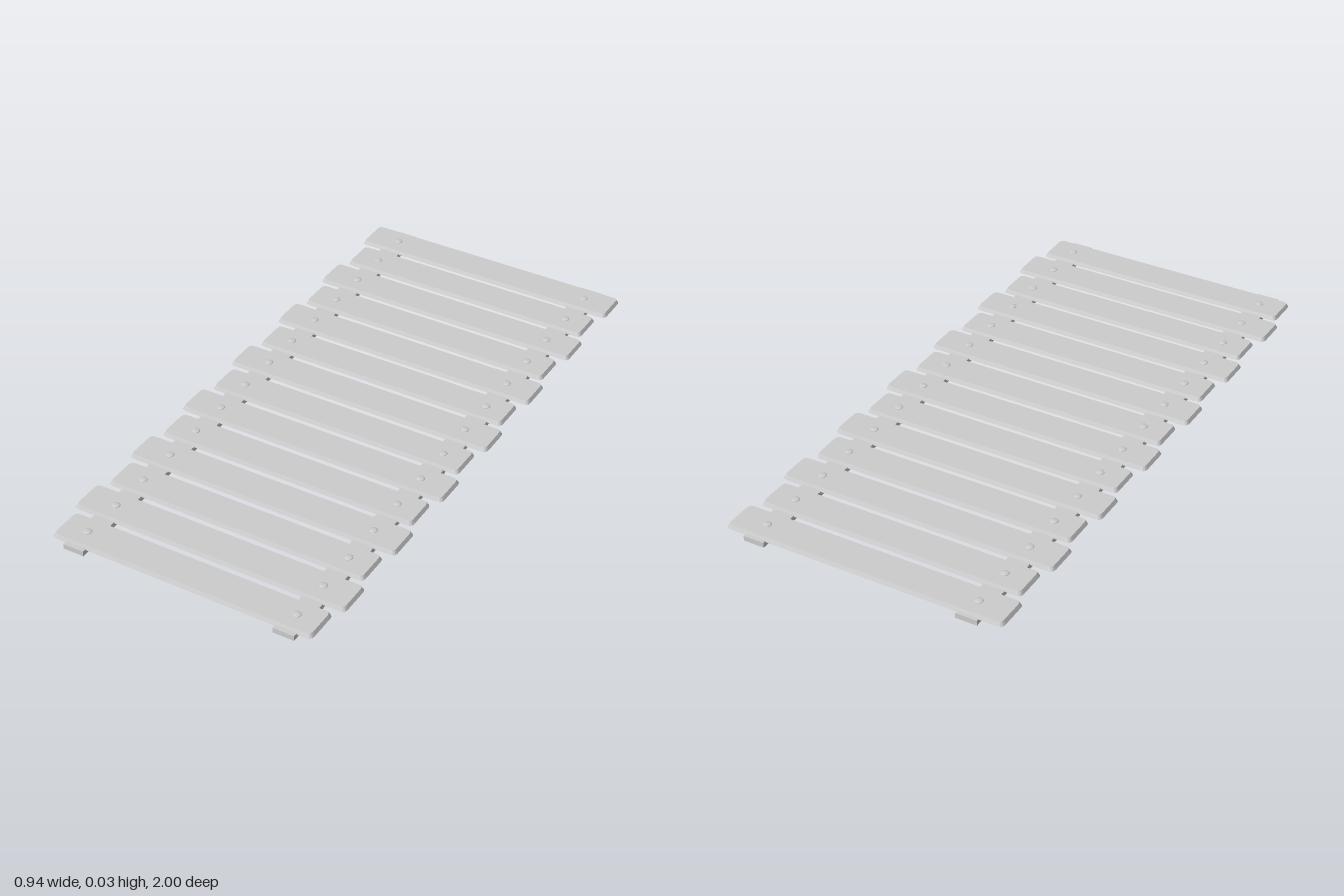
import * as THREE from 'three';

const material = new THREE.MeshStandardMaterial({ color: 0xcccccc, flatShading: true });
const smooth = new THREE.MeshStandardMaterial({ color: 0xcccccc });

const COUNT = 14, PITCH = 0.1428, DEPTH = 0.12;
const BOTTOM = 0.014, TOP = 0.027, RAIL_X = 0.36;

// Board with rounded corners; its sides lean inwards towards the top
function plankGeometry(width) {
  const x = width / 2, z = DEPTH / 2, r = 0.016, inset = 0.006;
  const s = new THREE.Shape();
  s.moveTo(-x + r, -z);
  s.lineTo(x - r, -z);
  s.quadraticCurveTo(x, -z, x, -z + r);
  s.lineTo(x, z - r);
  s.quadraticCurveTo(x, z, x - r, z);
  s.lineTo(-x + r, z);
  s.quadraticCurveTo(-x, z, -x, z - r);
  s.lineTo(-x, -z + r);
  s.quadraticCurveTo(-x, -z, -x + r, -z);
  const g = new THREE.ExtrudeGeometry(s, { depth: TOP - BOTTOM, bevelEnabled: false, curveSegments: 3 });
  g.rotateX(-Math.PI / 2);
  const p = g.attributes.position;
  for (let i = 0; i < p.count; i++) {
    if (p.getY(i) < 0.005) continue;
    p.setX(i, p.getX(i) * (1 - inset / x));
    p.setZ(i, p.getZ(i) * (1 - inset / z));
  }
  g.computeVertexNormals();
  return g;
}

export function createModel() {
  const model = new THREE.Group();
  model.name = 'plankWalkway';

  const add = (name, geometry, mat, x, y, z) => {
    const mesh = new THREE.Mesh(geometry, mat);
    mesh.name = name;
    mesh.position.set(x, y, z);
    model.add(mesh);
  };

  // Two long rails under the planks
  const rail = new THREE.BoxGeometry(0.07, 0.017, 2);
  add('leftRail', rail, material, RAIL_X, 0.0085, 0);
  add('rightRail', rail, material, -RAIL_X, 0.0085, 0);

  // Alternating long and short planks, each with two low domed nail heads
  const long = plankGeometry(0.937), short = plankGeometry(0.89);
  const nail = new THREE.SphereGeometry(0.014, 12, 4, 0, Math.PI * 2, 0, Math.PI / 2);
  nail.scale(1, 0.28, 1);
  for (let i = 0; i < COUNT; i++) {
    const z = -0.93 + i * PITCH;
    add('plank' + (i + 1), i % 2 ? short : long, material, -0.002, BOTTOM, z);
    for (const side of [-1, 1]) {
      add(side > 0 ? 'leftNail' : 'rightNail', nail, smooth, side * RAIL_X, TOP, z);
    }
  }
  return model;
}
